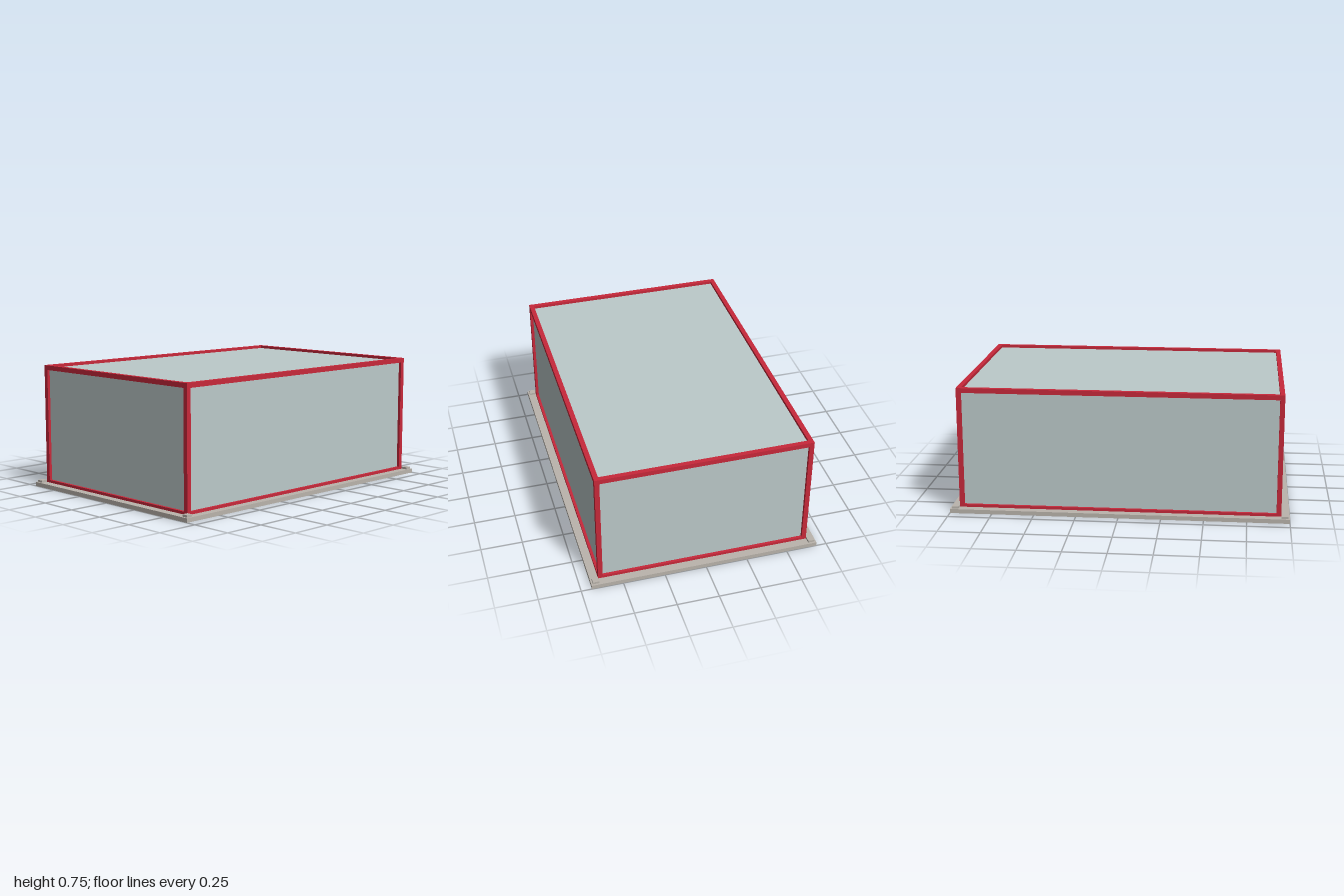
import * as THREE from 'three';

export function createModel() {
  const model = new THREE.Group();
  const mat = (name, color) => {
    const m = new THREE.MeshStandardMaterial({ color });
    m.name = name;
    return m;
  };
  const red = mat('frame red', 0xc8283a);
  const glass = mat('pale grey green', 0xbccaca);
  const stone = mat('warm grey', 0xbab4ac);

  const box = (name, material, size, pos) => {
    const mesh = new THREE.Mesh(new THREE.BoxGeometry(...size), material);
    mesh.name = name;
    mesh.position.set(...pos);
    model.add(mesh);
  };

  // Outer half sizes of the frame, its bottom and top, and the bar thickness
  const X = 0.95, Z = 0.638, y0 = 0.013, y1 = 0.75, t = 0.028;
  const baseH = 0.025, inset = 0.017;

  // Base slab
  box('base', stone, [2, baseH, 1.374], [0, baseH / 2, 0]);

  // Panelled volume, set back behind the bars
  const top = y1 - inset;
  box('panels', glass, [2 * (X - inset), top - baseH, 2 * (Z - inset)], [0, (top + baseH) / 2, 0]);

  for (const sx of [-1, 1]) {
    for (const sz of [-1, 1]) {
      // Corner posts and the small pads beside them
      box('cornerPost', red, [t, y1 - y0, t], [sx * (X - t / 2), (y0 + y1) / 2, sz * (Z - t / 2)]);
      box('cornerPad', stone, [0.038, 0.013, 0.038], [sx * 0.97, baseH + 0.0065, sz * 0.658]);
    }
  }

  // Horizontal rails at the bottom and top, fitted between the posts
  for (const y of [y0 + t / 2, y1 - t / 2]) {
    for (const s of [-1, 1]) {
      box('longRail', red, [2 * (X - t), t, t], [0, y, s * (Z - t / 2)]);
      box('shortRail', red, [t, t, 2 * (Z - t)], [s * (X - t / 2), y, 0]);
    }
  }
  return model;
}
